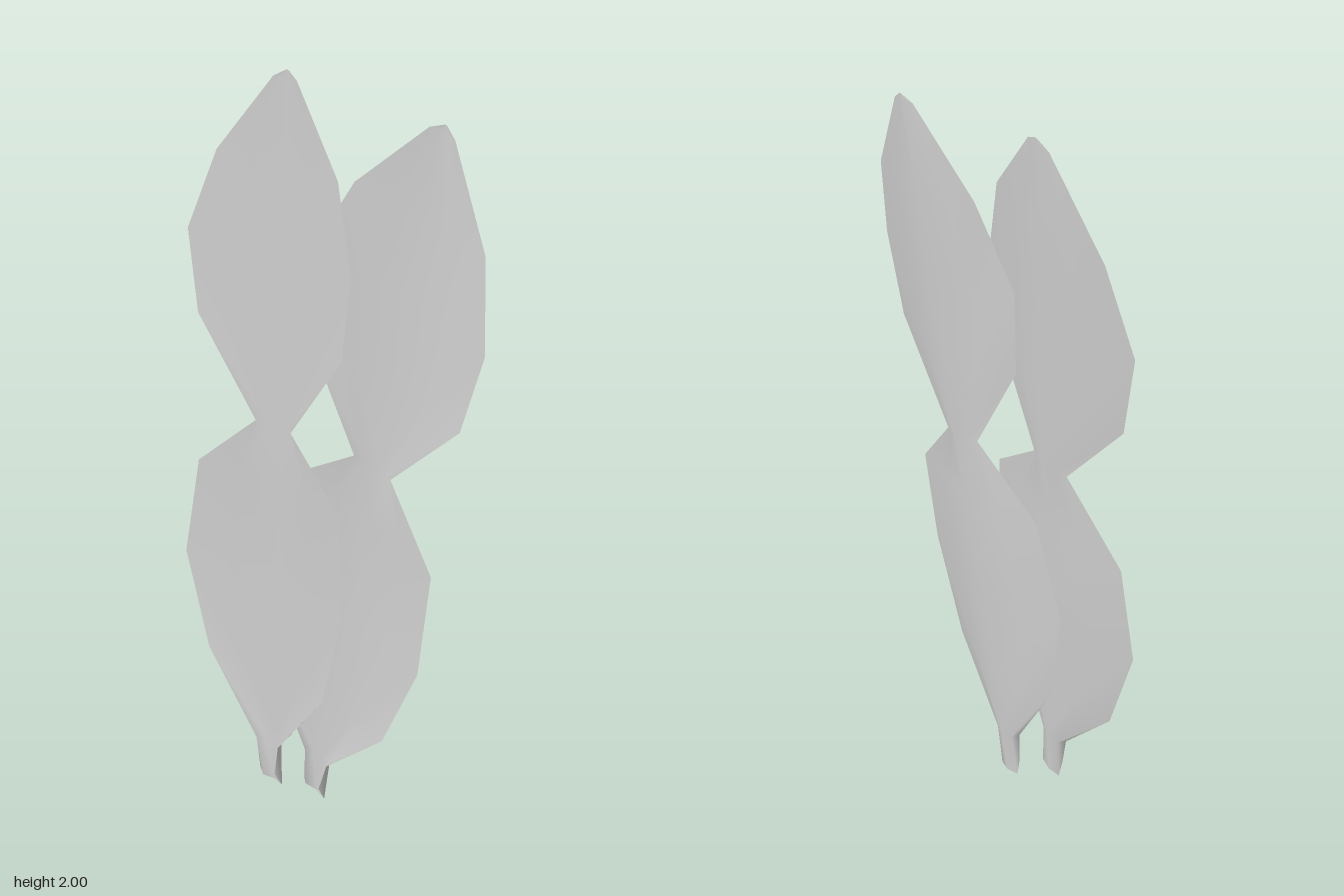
import * as THREE from 'three';

// One row per station up the leaf: height, half width, forward lift of the rim,
// half width and lift of the intermediate fold, extra height of the rim
const ROWS = [
  [0.00, 0.030, 0.026, 0.040, 0.008, 0.035],
  [0.12, 0.045, 0.030, 0.036, 0.010, 0],
  [0.33, 0.235, 0.045, 0.115, 0.018, 0],
  [0.595, 0.32, 0.060, 0.160, 0.025, 0],
  [0.865, 0.285, 0.046, 0.140, 0.021, 0],
  [1.03, 0.070, 0.028, 0.045, 0.011, 0],
  [1.28, 0.285, 0.052, 0.140, 0.022, 0],
  [1.505, 0.32, 0.060, 0.160, 0.026, 0],
  [1.725, 0.235, 0.034, 0.115, 0.015, 0],
  [1.94, 0.045, 0.008, 0.022, 0.003, 0],
  [1.96, 0.004, 0.001, 0.002, 0, 0],
];
const COLS = 5;

// Folded sheet with a stem, lower lobe, pinched neck and upper lobe
function leafGeometry() {
  const position = [], index = [];
  ROWS.forEach(([y, w, lift, midW, midLift, rimUp], r) => {
    const z = -0.033 * y; // the spine leans back
    position.push(
      -w, y + rimUp, z + lift,
      -midW, y, z + midLift,
      0, y, z,
      midW, y, z + midLift,
      w, y + rimUp, z + lift,
    );
    if (r === ROWS.length - 1) return;
    for (let c = 0; c < COLS - 1; c++) {
      const a = r * COLS + c, b = a + 1, d = a + COLS, e = d + 1;
      // mirror the diagonals about the spine
      if (c < 2) index.push(a, b, d, b, e, d);
      else index.push(a, b, e, a, e, d);
    }
  });
  const geometry = new THREE.BufferGeometry();
  geometry.setAttribute('position', new THREE.Float32BufferAttribute(position, 3));
  geometry.setIndex(index);
  geometry.computeVertexNormals();
  return geometry;
}

export function createModel() {
  const group = new THREE.Group();
  group.name = 'leafPair';
  const material = new THREE.MeshStandardMaterial({ color: 0xcccccc, side: THREE.DoubleSide });
  const geometry = leafGeometry();

  const addLeaf = (name, x, y, z, tilt) => {
    const leaf = new THREE.Mesh(geometry, material);
    leaf.name = name;
    leaf.position.set(x, y, z);
    leaf.rotation.z = tilt;
    group.add(leaf);
  };
  // Upright leaf in front, leaning leaf behind
  addLeaf('frontLeaf', -0.195, 0.04, 0.055, 0);
  addLeaf('backLeaf', -0.11, 0.01, -0.025, -0.206);
  return group;
}
